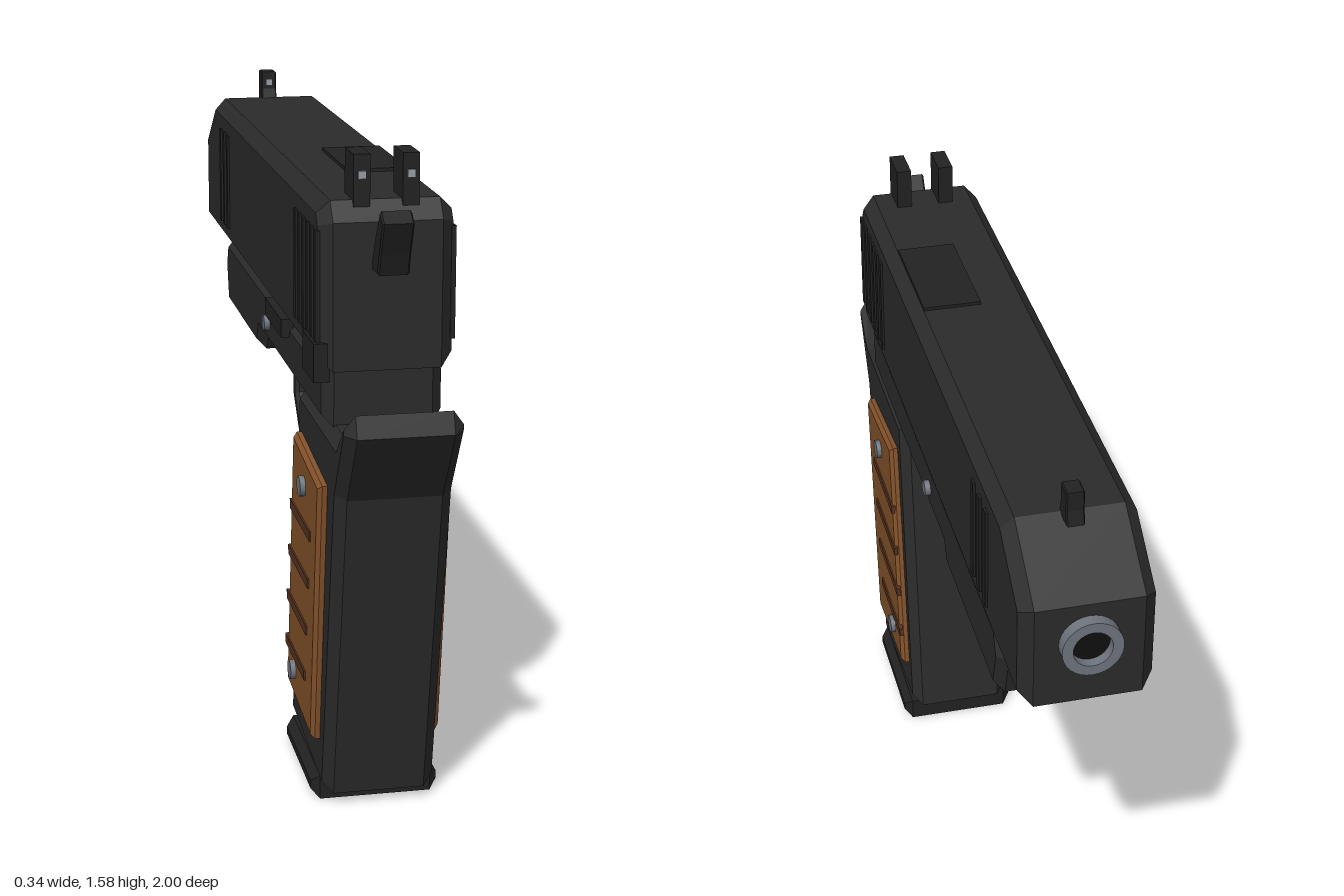
import * as THREE from 'three';

const mat = (name, color) => {
  const m = new THREE.MeshStandardMaterial({ color });
  m.name = name;
  return m;
};

export function createModel() {
  const model = new THREE.Group();
  model.name = 'pistol';
  const black = mat('gunmetal black', 0x2b2b2b);
  const dark = mat('dark black', 0x222222);
  const steel = mat('steel', 0x6f757e);
  const wood = mat('wood', 0x84522a);
  const groove = mat('dark wood', 0x563420);
  const bore = mat('bore', 0x101010);
  const dot = mat('sight dot', 0x9a9fa5);

  const add = (name, geometry, material) => {
    const mesh = new THREE.Mesh(geometry, material);
    mesh.name = name;
    model.add(mesh);
    return mesh;
  };

  // Side profile of [z, y] points, extruded across x with chamfered edges
  const profile = (name, points, x0, x1, bevel, material) => {
    const shape = new THREE.Shape(points.map(([z, y]) => new THREE.Vector2(z, y)));
    const depth = x1 - x0 - 2 * bevel;
    const g = new THREE.ExtrudeGeometry(shape, {
      depth, bevelEnabled: bevel > 0, bevelSize: bevel, bevelThickness: bevel,
      bevelOffset: -bevel, bevelSegments: 1,
    });
    g.translate(0, 0, -depth / 2).rotateY(-Math.PI / 2).translate((x0 + x1) / 2, 0, 0);
    return add(name, g, material);
  };

  // Box given by its x, y and z ranges
  const box = (name, [x0, x1], [y0, y1], [z0, z1], material) => add(name,
    new THREE.BoxGeometry(x1 - x0, y1 - y0, z1 - z0)
      .translate((x0 + x1) / 2, (y0 + y1) / 2, (z0 + z1) / 2), material);

  // Cylinder running across x
  const pin = (name, r, x0, x1, y, z, material) => add(name,
    new THREE.CylinderGeometry(r, r, x1 - x0, 8).rotateZ(Math.PI / 2)
      .translate((x0 + x1) / 2, y, z), material);

  // Slide and frame
  profile('slide', [[0.8, 1.09], [0.8, 1.43], [0.765, 1.475], [-0.79, 1.475], [-0.97, 1.35], [-0.97, 1.09]],
    -0.155, 0.155, 0.03, black);
  profile('frame', [[0.76, 0.95], [0.76, 1.095], [-0.68, 1.095], [-0.715, 1.02], [-0.68, 0.9], [-0.16, 0.9], [-0.13, 0.95]],
    -0.14, 0.14, 0.025, black);
  for (const z of [-0.305, -0.417, -0.53])
    box('railRib', [-0.11, 0.11], [0.885, 0.91], [z - 0.022, z + 0.022], dark);

  // Grip with its rear tang, and the magazine base
  profile('grip', [[0.98, 1.04], [1.0, 0.99], [0.89, 0.815], [0.74, 0.03], [0.7, 0.03],
    [0.305, 0.065], [0.417, 0.955], [0.877, 0.955]], -0.135, 0.135, 0.025, black);
  profile('magazineBase', [[0.7, 0], [0.7, 0.06], [0.335, 0.06], [0.335, 0]], -0.155, 0.155, 0.02, dark);

  // Trigger guard and trigger
  profile('triggerGuard', [[0.43, 0.7], [-0.05, 0.7], [-0.135, 0.785], [-0.135, 0.96], [-0.09, 0.96],
    [-0.09, 0.795], [-0.035, 0.74], [0.43, 0.74]], -0.05, 0.05, 0.01, black);
  profile('trigger', [[0.125, 0.96], [0.08, 0.96], [0.06, 0.84], [0.003, 0.75], [0.037, 0.75], [0.085, 0.825]],
    -0.03, 0.03, 0.006, steel);

  // Grip panels, screws, pins and serrations on both sides
  for (const s of [-1, 1]) {
    const span = (a, b) => (s > 0 ? [a, b] : [-b, -a]);
    profile('gripPanel', [[0.79, 0.82], [0.465, 0.855], [0.37, 0.18], [0.695, 0.155]],
      ...span(0.125, 0.157), 0.01, wood);
    for (let i = 0; i < 4; i++) {
      const y = 0.668 - i * 0.126, z = 0.57 - i * 0.024;
      box('gripGroove', span(0.15, 0.161), [y - 0.012, y + 0.012], [z - 0.128, z + 0.128], groove);
    }
    for (const [y, z] of [[0.765, 0.61], [0.246, 0.475]])
      pin('gripScrew', 0.026, ...span(0.145, 0.17), y, z, steel);
    pin('framePin', 0.021, ...span(0.13, 0.155), 1.017, 0.025, steel);
    for (const z of [0.765, 0.715, 0.665, 0.615, 0.565, 0.515, -0.54, -0.6, -0.66])
      box('slideSerration', span(0.15, 0.161), [1.15, 1.41], [z - 0.012, z + 0.012], dark);
  }

  // Controls on one side only
  box('safetyLever', [-0.167, -0.13], [1.065, 1.155], [0.65, 0.79], dark);
  box('slideStop', [-0.161, -0.13], [1.055, 1.1], [0.09, 0.33], dark);

  // Ejection port cover and hammer
  box('ejectionPort', [-0.02, 0.125], [1.465, 1.483], [0.125, 0.435], dark);
  profile('hammer', [[0.904, 1.445], [0.872, 1.468], [0.818, 1.39], [0.79, 1.32], [0.855, 1.32], [0.872, 1.37]],
    -0.036, 0.036, 0.004, dark);

  // Sights with dots facing the rear
  for (const x of [-0.056, 0.056]) {
    box('rearSight', [x - 0.019, x + 0.019], [1.46, 1.578], [0.68, 0.777], dark);
    box('rearSightDot', [x - 0.009, x + 0.009], [1.523, 1.541], [0.777, 0.782], dot);
  }
  profile('frontSight', [[-0.775, 1.465], [-0.785, 1.5], [-0.785, 1.548], [-0.832, 1.548], [-0.832, 1.5], [-0.84, 1.465]],
    -0.021, 0.021, 0.003, dark);
  box('frontSightDot', [-0.009, 0.009], [1.51, 1.528], [-0.785, -0.779], dot);

  // Muzzle ring with its dark bore, and the guide rod below
  const ring = new THREE.Shape().absarc(0, 0, 0.07, 0, Math.PI * 2);
  ring.holes.push(new THREE.Path().absarc(0, 0, 0.045, 0, Math.PI * 2, true));
  add('muzzle', new THREE.ExtrudeGeometry(ring, { depth: 0.05, bevelEnabled: false, curveSegments: 16 })
    .translate(0, 1.25, -1), steel);
  add('bore', new THREE.CircleGeometry(0.047, 16).rotateY(Math.PI).translate(0, 1.25, -0.975), bore);
  add('guideRod', new THREE.CylinderGeometry(0.048, 0.048, 0.1, 12).rotateX(Math.PI / 2)
    .translate(0, 1.032, -0.68), steel);

  return model;
}
